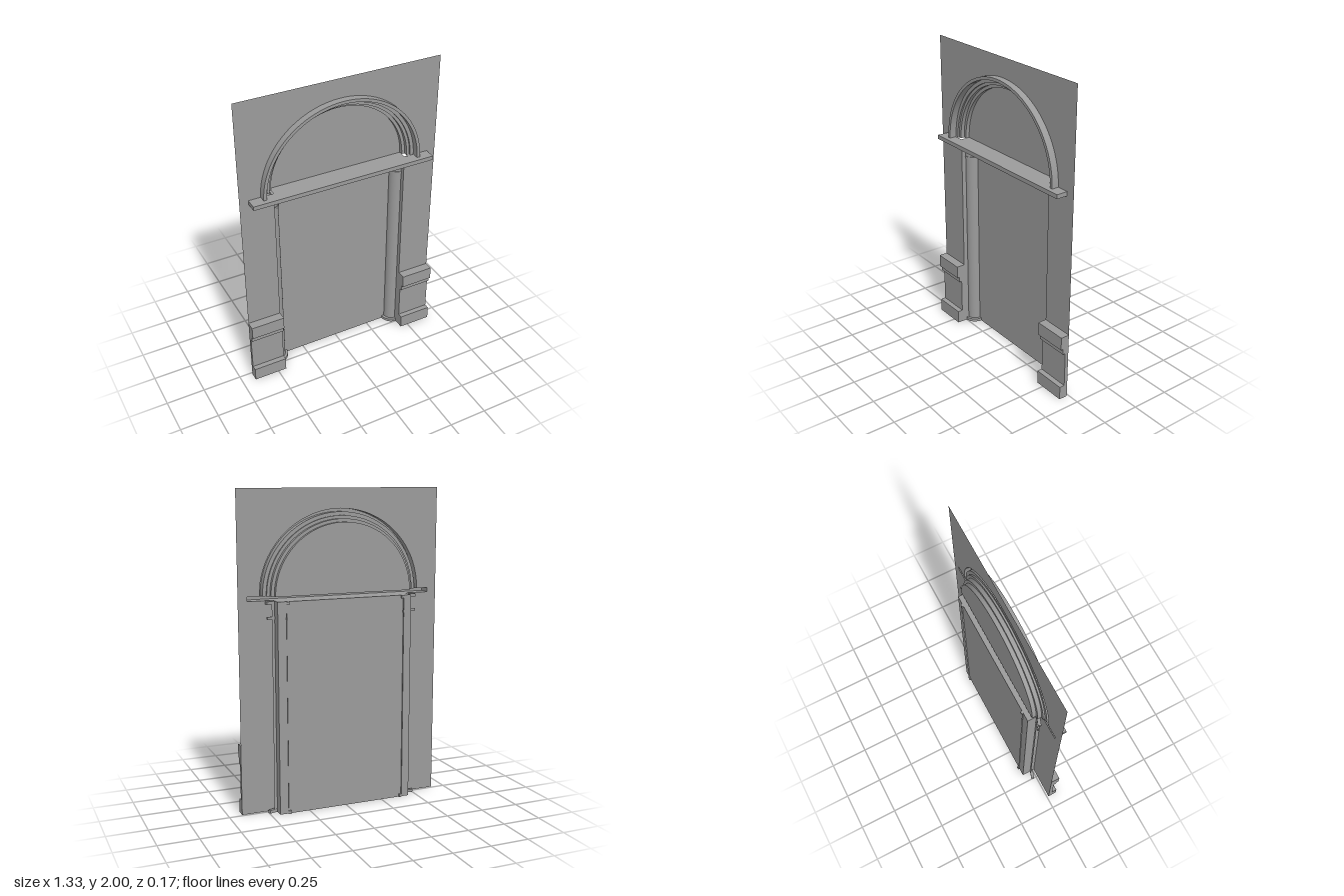
import * as THREE from 'three';
import { toCreasedNormals } from 'three/addons/utils/BufferGeometryUtils.js';

const WALL_Z = 0.012, DOOR_Z = -0.076, ARCH_Z = -0.05, COLUMN_Z = -0.073;
const HALF_W = 0.665, DOOR_X = 0.445, SILL_X = 0.608, DOOR_TOP = 1.333, SILL_TOP = 1.36;
const ARCH_R = 0.53, SQUASH = 0.972;
const rad = THREE.MathUtils.degToRad;

export function createModel() {
  const model = new THREE.Group();
  const material = new THREE.MeshStandardMaterial({ color: 0x9b9b9b, side: THREE.DoubleSide });

  const add = (name, geometry, parent = model) => {
    const mesh = new THREE.Mesh(geometry, material);
    mesh.name = name;
    parent.add(mesh);
    return mesh;
  };

  // wall sheet, cut in one outline for the doorway, the sill slot and the arch
  const wall = new THREE.Shape();
  wall.moveTo(HALF_W, 0);
  wall.lineTo(HALF_W, 2);
  wall.lineTo(-HALF_W, 2);
  wall.lineTo(-HALF_W, 0);
  wall.lineTo(-DOOR_X, 0);
  wall.lineTo(-DOOR_X, DOOR_TOP);
  wall.lineTo(-SILL_X, DOOR_TOP);
  wall.lineTo(-SILL_X, SILL_TOP);
  wall.absellipse(0, SILL_TOP, ARCH_R, ARCH_R * SQUASH, Math.PI, 0, true);
  wall.lineTo(SILL_X, SILL_TOP);
  wall.lineTo(SILL_X, DOOR_TOP);
  wall.lineTo(DOOR_X, DOOR_TOP);
  wall.lineTo(DOOR_X, 0);
  add('wall', new THREE.ShapeGeometry(wall, 32).translate(0, 0, WALL_Z));

  // stepped arch moulding: profile of radius and depth, swept over half a turn
  const steps = [
    [ARCH_R, WALL_Z], [ARCH_R, 0.057], [0.51, 0.057], [0.51, 0.011], [0.487, 0.011],
    [0.487, 0], [0.468, 0], [0.468, -0.025], [0.448, -0.025], [0.448, ARCH_Z],
  ].map(([r, z]) => new THREE.Vector2(r, z));
  const arch = new THREE.LatheGeometry(steps, 64, Math.PI / 2, Math.PI);
  arch.rotateX(Math.PI / 2).scale(1, SQUASH, 1).translate(0, SILL_TOP, 0);
  add('archMoulding', toCreasedNormals(arch, 0.6));

  // recessed panel inside the arch, and the ledge below it
  const tympanum = new THREE.Shape();
  tympanum.absellipse(0, SILL_TOP, 0.448, 0.448 * SQUASH, 0, Math.PI, false);
  add('archPanel', new THREE.ShapeGeometry(tympanum, 32).translate(0, 0, ARCH_Z));
  add('archLedge', new THREE.PlaneGeometry(0.896, WALL_Z - ARCH_Z).rotateX(-Math.PI / 2)
    .translate(0, SILL_TOP, (WALL_Z + ARCH_Z) / 2));

  // projecting sill, a box left open at the back (its last face)
  const sill = new THREE.BoxGeometry(2 * SILL_X, SILL_TOP - DOOR_TOP, 0.087 - WALL_Z);
  sill.setIndex([...sill.index.array.slice(0, 30)]);
  add('sill', sill.translate(0, (SILL_TOP + DOOR_TOP) / 2, (0.087 + WALL_Z) / 2));

  // door recess: back panel and soffit
  const depth = WALL_Z - DOOR_Z, midZ = (WALL_Z + DOOR_Z) / 2;
  add('doorPanel', new THREE.PlaneGeometry(2 * DOOR_X, DOOR_TOP).translate(0, DOOR_TOP / 2, DOOR_Z));
  add('doorSoffit', new THREE.PlaneGeometry(2 * DOOR_X, depth).rotateX(Math.PI / 2)
    .translate(0, DOOR_TOP, midZ));

  // collar around a column: an arc that runs on as a straight tail into the masonry
  const collar = (side, outer, y, height) => {
    const edge = (r) => {
      const points = [];
      for (let i = 0; i <= 16; i++) {
        const a = rad(70 + (122 * i) / 16);
        points.push([r * Math.cos(a), r * Math.sin(a)]);
      }
      const [x, z] = points[0];
      return [[x + 0.036 * Math.sin(rad(70)), z - 0.036 * Math.cos(rad(70))], ...points];
    };
    const outline = [...edge(outer), ...edge(0.052).reverse()];
    const shape = new THREE.Shape(outline.map(([x, z]) => new THREE.Vector2(side * x, -z)));
    const g = new THREE.ExtrudeGeometry(shape, { depth: height, bevelEnabled: false });
    g.rotateX(-Math.PI / 2).translate(side * DOOR_X, y, COLUMN_Z);
    return toCreasedNormals(g, 0.6);
  };

  // stepped pedestal profile, drawn as depth and height
  const pedestal = new THREE.Shape([
    [WALL_Z, 0], [0.07, 0], [0.07, 0.088], [0.036, 0.088], [0.036, 0.32],
    [0.054, 0.32], [0.054, 0.357], [0.07, 0.357], [0.07, 0.443], [WALL_Z, 0.443],
  ].map(([z, y]) => new THREE.Vector2(z, y)));

  for (const side of [1, -1]) {
    const label = side > 0 ? 'left' : 'right';
    add(label + 'Jamb', new THREE.PlaneGeometry(depth, DOOR_TOP).rotateY(-side * Math.PI / 2)
      .translate(side * DOOR_X, DOOR_TOP / 2, midZ));

    // rounded column set in the corner of the recess, its edges passing through the panels
    const column = new THREE.Group();
    column.name = label + 'Column';
    model.add(column);
    add('shaft', new THREE.CylinderGeometry(0.055, 0.055, DOOR_TOP, 20, 1, true,
      rad(side > 0 ? -102 : -20), rad(122))
      .translate(side * DOOR_X, DOOR_TOP / 2, COLUMN_Z), column);
    add('base', collar(side, 0.072, 0, 0.02), column);
    add('neckRing', collar(side, 0.059, 1.222, 0.017), column);
    add('capital', collar(side, 0.072, 1.314, 0.018), column);

    const block = new THREE.ExtrudeGeometry(pedestal, { depth: HALF_W - DOOR_X, bevelEnabled: false });
    block.rotateY(-Math.PI / 2).translate(side > 0 ? HALF_W : -DOOR_X, 0, 0);
    add(label + 'Pedestal', block);
  }
  return model;
}
